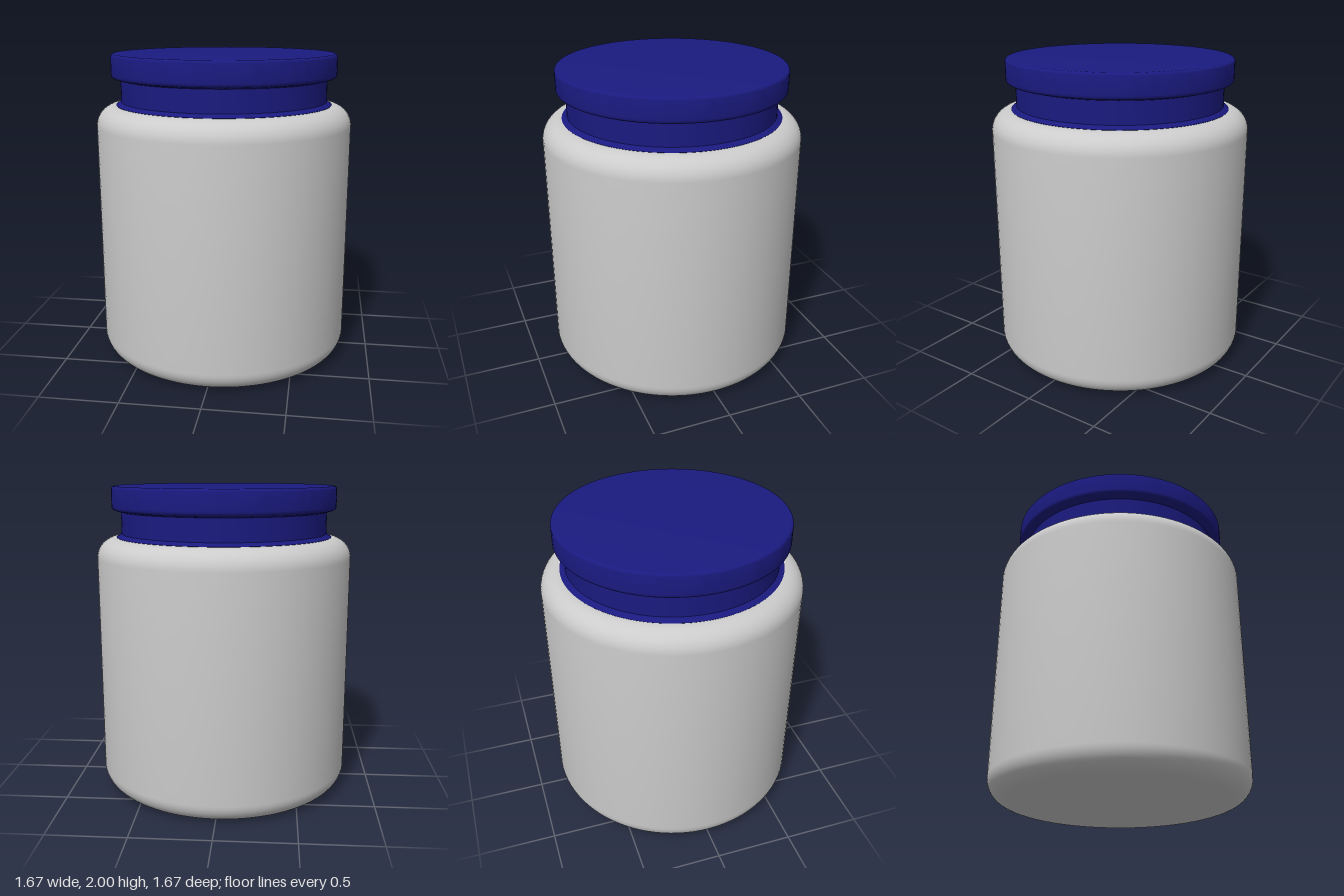
import * as THREE from 'three';
import { toCreasedNormals } from 'three/addons/utils/BufferGeometryUtils.js';

const SEGMENTS = 96;

// Corner points of a rounded profile, centre (cx, cy), angles in degrees
function arc(cx, cy, r, from, to, steps) {
  const pts = [];
  for (let i = 0; i <= steps; i++) {
    const a = THREE.MathUtils.degToRad(from + ((to - from) * i) / steps);
    pts.push([cx + r * Math.cos(a), cy + r * Math.sin(a)]);
  }
  return pts;
}

// Solid of revolution, profile listed from bottom to top
function turned(name, profile, material) {
  const points = profile.map(([x, y]) => new THREE.Vector2(x, y));
  const geometry = toCreasedNormals(new THREE.LatheGeometry(points, SEGMENTS), 0.45);
  const mesh = new THREE.Mesh(geometry, material);
  mesh.name = name;
  return mesh;
}

export function createModel() {
  const group = new THREE.Group();
  group.name = 'jar';
  const grey = new THREE.MeshStandardMaterial({ color: 0xcccccc });
  const blue = new THREE.MeshStandardMaterial({ color: 0x1a1a80 });

  // Jar body with rounded base and shoulder
  const R = 0.833, H = 1.673, r = 0.13;
  group.add(turned('body', [
    [0, 0],
    ...arc(R - r, r, r, -90, 0, 12),
    ...arc(R - r, H - r, r, 0, 90, 12),
    [0, H],
  ], grey));

  // Neck with a flared foot resting on the shoulder
  group.add(turned('neck', [
    [0.7, H - 0.005],
    [0.705, H + 0.002],
    [0.672, 1.695],
    [0.672, 1.845],
  ], blue));

  // Lid with a sloped underside and softened rims
  group.add(turned('lid', [
    [0, 1.836],
    [0.672, 1.836],
    ...arc(0.707, 1.871, 0.025, -70, 0, 6),
    ...arc(0.712, 1.98, 0.02, 0, 90, 6),
    [0, 2],
  ], blue));

  return group;
}
